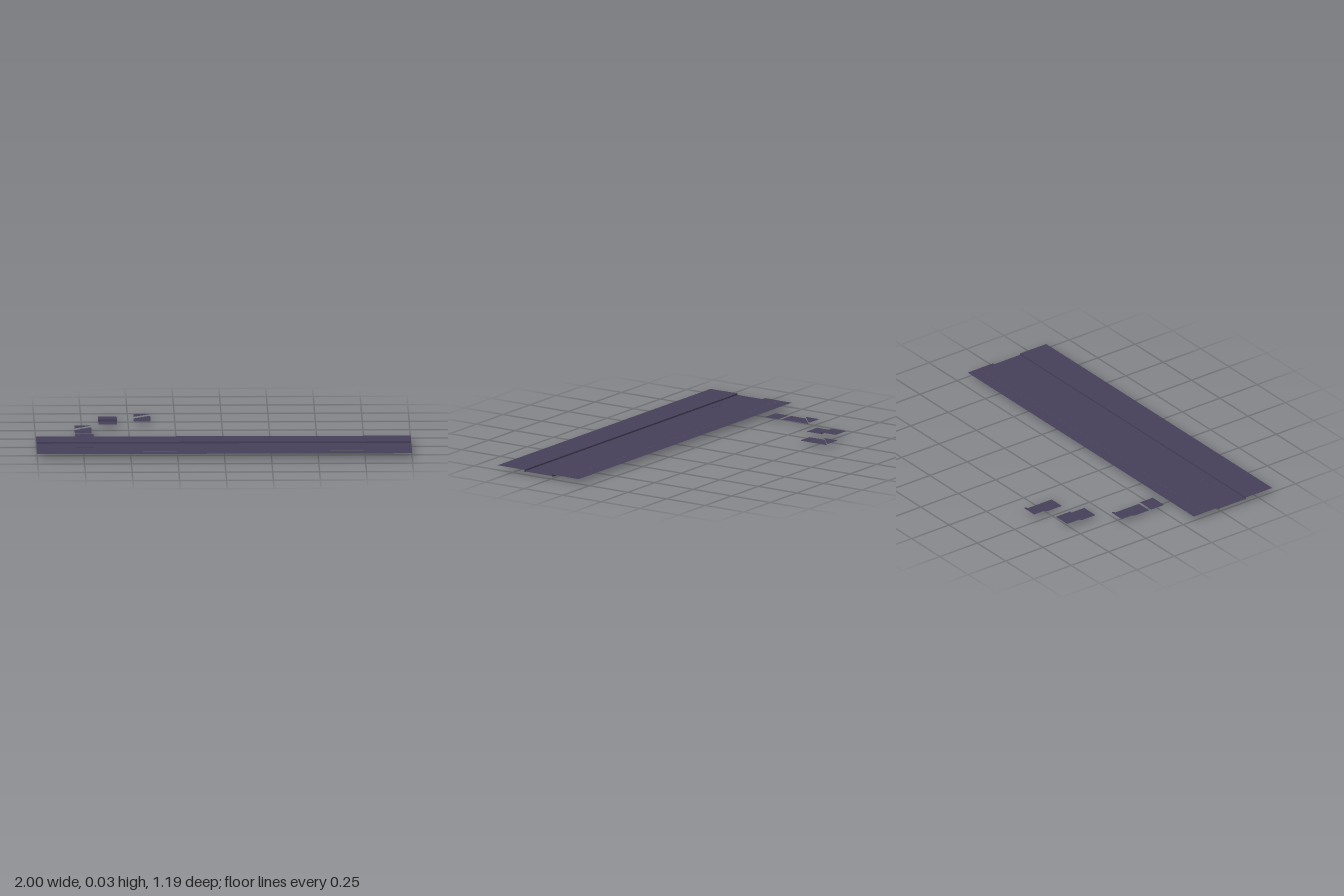
import * as THREE from 'three';

const ROAD = 0.018, WALK = 0.027, KERB_FOOT = 0.013;

export function createModel() {
  const model = new THREE.Group();
  model.name = 'streetSection';
  const asphalt = new THREE.MeshStandardMaterial({ color: 0x453e58, side: THREE.DoubleSide });
  asphalt.name = 'dusk purple paving';

  const add = (name, geometry, parent = model) => {
    const mesh = new THREE.Mesh(geometry, asphalt);
    mesh.name = name;
    parent.add(mesh);
    return mesh;
  };

  // Flat paving polygon from [x, z] corners at height y
  const paving = (name, corners, y, parent) => {
    const shape = new THREE.Shape(corners.map(([x, z]) => new THREE.Vector2(x, -z)));
    return add(name, new THREE.ShapeGeometry(shape).rotateX(-Math.PI / 2).translate(0, y, 0), parent);
  };
  const rect = (name, x0, x1, z0, z1, y, parent) =>
    paving(name, [[x0, z1], [x1, z1], [x1, z0], [x0, z0]], y, parent);

  // Upright strip facing the front or the back
  const wall = (name, x0, x1, y0, y1, z, parent, facing = 1) => {
    const g = new THREE.PlaneGeometry(x1 - x0, y1 - y0);
    if (facing < 0) g.rotateY(Math.PI);
    return add(name, g.translate((x0 + x1) / 2, (y0 + y1) / 2, z), parent);
  };

  // Long carriageway, laid around the drain opening
  const drain = { x0: -0.79, x1: -0.69, z0: 0.345, z1: 0.375 };
  const road = new THREE.Group();
  road.name = 'carriageway';
  model.add(road);
  rect('roadBackLane', -1, 1, 0.24, drain.z0, ROAD, road);
  rect('roadFrontLane', -1, 1, drain.z1, 0.42, ROAD, road);
  rect('roadRightOfDrain', -1, drain.x0, drain.z0, drain.z1, ROAD, road);
  rect('roadLeftOfDrain', drain.x1, 1, drain.z0, drain.z1, ROAD, road);

  // Drain with two grate halves and walls reaching down
  const mid = (drain.x0 + drain.x1) / 2;
  rect('drainGrate', drain.x0, mid - 0.001, drain.z0, drain.z1, ROAD - 0.001, road);
  rect('drainGrate', mid + 0.001, drain.x1, drain.z0, drain.z1, ROAD - 0.001, road);
  wall('drainWall', drain.x0, drain.x1, 0, ROAD, drain.z0, road, 1);
  wall('drainWall', drain.x0, drain.x1, 0, ROAD, drain.z1, road, -1);

  // Two pavements: outer slabs, inner slabs, kerb face and kerb stones
  const pavement = (name, outer, seam, edge) => {
    const group = new THREE.Group();
    group.name = name;
    model.add(group);
    const toRoad = Math.sign(edge - outer);
    const strip = (label, a, b, x0, x1, y) =>
      rect(label, x0, x1, Math.min(a, b), Math.max(a, b), y, group);
    strip('outerSlabs', outer, seam, -1, 1, WALK - 0.001);
    strip('innerSlabs', seam, edge, -1, 1, WALK - 0.0005);
    wall('kerbFace', -1, 1, KERB_FOOT, WALK, edge, group, toRoad);
    for (let i = 0; i < 40; i++) {
      const x = -1 + i * 0.05;
      strip('kerbStone', edge - toRoad * 0.022, edge, x + 0.001, x + 0.049, WALK);
    }
    return group;
  };
  pavement('backPavement', 0.07, 0.145, 0.24);
  const front = pavement('frontPavement', 0.595, 0.518, 0.42);

  // Inlet plates along the front kerb
  for (let i = 0; i < 10; i++) {
    const x = -0.96 + i * 0.2;
    rect('inletPlate', x, x + 0.06, 0.42, 0.442, WALK + 0.0008, front);
  }

  // Loose road tile
  rect('roadTile', -0.79, -0.69, -0.055, 0.03, ROAD);

  // Loose straight kerb tile
  const kerbTile = new THREE.Group();
  kerbTile.name = 'kerbTile';
  model.add(kerbTile);
  rect('tileRoad', -0.66, -0.56, -0.425, -0.33, ROAD, kerbTile);
  rect('tileWalk', -0.66, -0.56, -0.52, -0.425, WALK, kerbTile);
  wall('tileKerb', -0.66, -0.56, ROAD, WALK, -0.425, kerbTile);

  // Loose corner tiles, split along a diagonal with the raised part at the back
  const cornerTile = (x0, x1, z0, z1) => {
    const group = new THREE.Group();
    group.name = 'cornerTile';
    model.add(group);
    const a = [x0, z0 + 0.09], b = [x1, z0 + 0.008];
    paving('tileRoad', [[x0, z1], [x1, z1], b, a], ROAD, group);
    paving('tileWalk', [a, b, [x1, z0], [x0, z0]], WALK, group);
  };
  cornerTile(-0.79, -0.7, -0.255, -0.07);
  cornerTile(-0.47, -0.38, -0.597, -0.412);

  return model;
}
